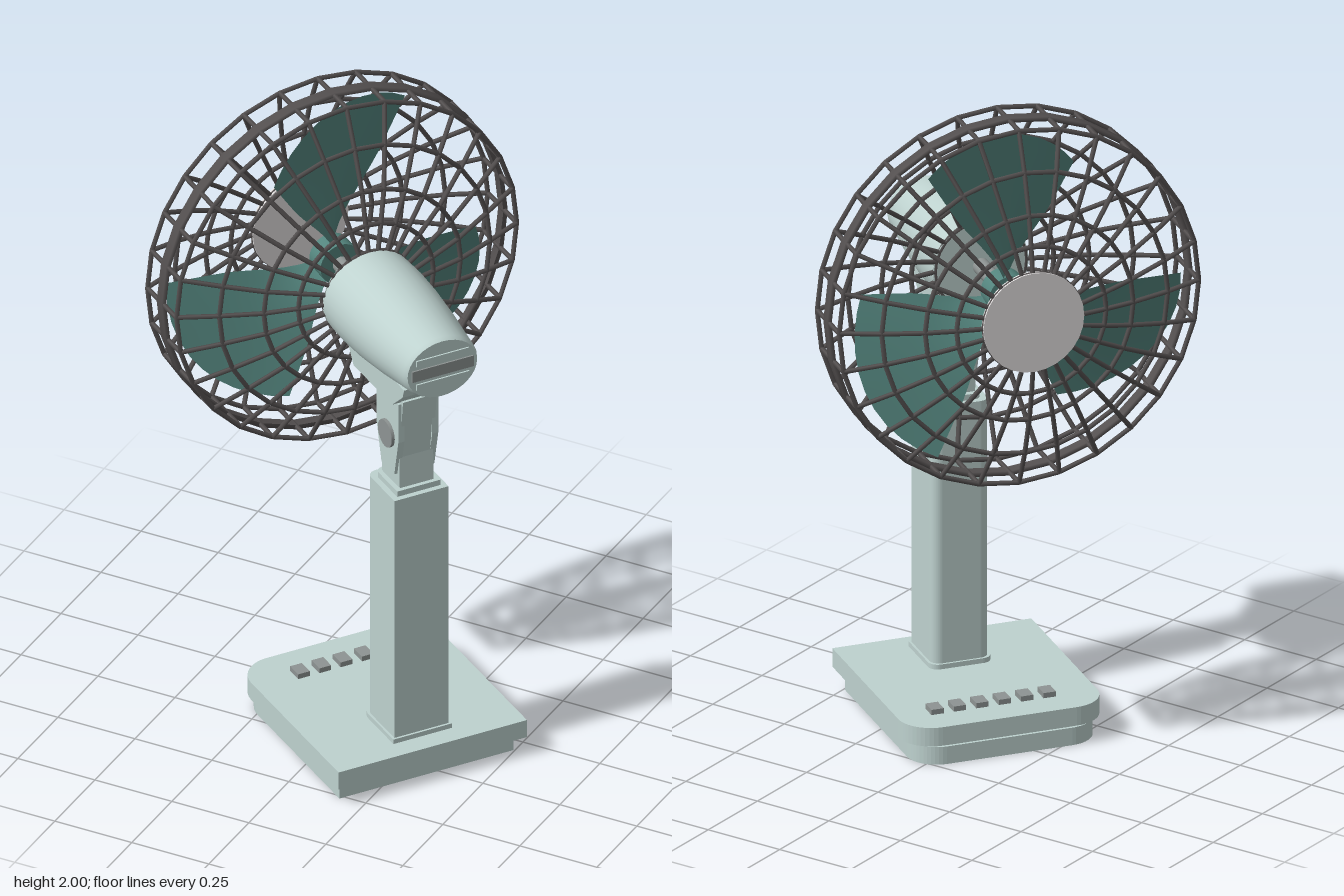
import * as THREE from 'three';
import { mergeGeometries } from 'three/addons/utils/BufferGeometryUtils.js';

const mat = (name, color, side = THREE.FrontSide) => {
  const m = new THREE.MeshStandardMaterial({ color, side });
  m.name = name;
  return m;
};

export function createModel() {
  const body = mat('pale grey green', 0xbed2cf);
  const teal = mat('dark teal', 0x54857e, THREE.DoubleSide);
  const light = mat('light grey', 0xe0dddd);
  const dark = mat('dark wire', 0x555151);
  const grey = mat('mid grey', 0x8e9493);

  const model = new THREE.Group();
  model.name = 'deskFan';
  // the fan is turned about its stand; inside this group its front is +z
  const fan = new THREE.Group();
  fan.name = 'fan';
  fan.rotation.y = THREE.MathUtils.degToRad(-125);
  fan.position.set(-0.023, 0, 0.033);
  model.add(fan);

  const add = (name, geo, material, parent = fan, x = 0, y = 0, z = 0) => {
    const m = new THREE.Mesh(geo, material);
    m.name = name;
    m.position.set(x, y, z);
    parent.add(m);
    return m;
  };

  // upright slab with rounded front corners and sharp back corners
  const slab = (w, z0, z1, r, h) => {
    const a = w / 2, s = new THREE.Shape();
    s.moveTo(-a, -z0);
    s.lineTo(-a, -z1 + r);
    s.absarc(-a + r, -z1 + r, r, Math.PI, Math.PI * 1.5, false);
    s.absarc(a - r, -z1 + r, r, Math.PI * 1.5, Math.PI * 2, false);
    s.lineTo(a, -z0);
    return new THREE.ExtrudeGeometry(s, { depth: h, bevelEnabled: false, curveSegments: 6 })
      .rotateX(-Math.PI / 2);
  };

  // side profile given as [z, y] points, extruded across the width
  const sideProfile = (pts, w) => {
    const s = new THREE.Shape(pts.map(([z, y]) => new THREE.Vector2(-z, y)));
    return new THREE.ExtrudeGeometry(s, { depth: w, bevelEnabled: false })
      .translate(0, 0, -w / 2).rotateY(Math.PI / 2);
  };

  // stand
  add('lowerBase', slab(0.565, -0.435, 0.167, 0.09, 0.055), body);
  add('baseNeck', slab(0.55, -0.43, 0.158, 0.09, 0.012), body, fan, 0, 0.05);
  add('upperBase', slab(0.612, -0.475, 0.168, 0.1, 0.058), body, fan, 0, 0.06);
  add('columnFoot', slab(0.19, -0.412, -0.223, 0.03, 0.015), body, fan, 0, 0.118);
  add('column', slab(0.176, -0.405, -0.23, 0.03, 0.822), body, fan, 0, 0.118);
  add('columnCollar', slab(0.14, -0.388, -0.248, 0.025, 0.018), body, fan, 0, 0.94);
  for (let i = 0; i < 6; i++) {
    add('button', new THREE.BoxGeometry(0.038, 0.016, 0.05), grey, fan,
      -0.015 + (i - 2.5) * 0.069, 0.126, 0.05);
  }

  // tilting neck
  add('neck', sideProfile([[-0.375, 0.955], [-0.265, 0.955], [-0.262, 1.06],
    [-0.225, 1.26], [-0.395, 1.26], [-0.372, 1.06]], 0.11), body);
  add('bracket', sideProfile([[-0.375, 1.25], [-0.135, 1.25], [-0.08, 1.34],
    [-0.45, 1.34], [-0.44, 1.31]], 0.16), body);
  for (const s of [-1, 1]) {
    add('neckCheek', sideProfile([[-0.36, 1.0], [-0.28, 1.0], [-0.25, 1.12],
      [-0.25, 1.25], [-0.385, 1.25], [-0.385, 1.12]], 0.02), body, fan, s * 0.055);
    add('tiltKnob', new THREE.CylinderGeometry(0.043, 0.043, 0.02, 20).rotateZ(Math.PI / 2),
      grey, fan, s * 0.065, 1.12, -0.32);
  }

  // head: everything here is centred on the fan axis
  const head = new THREE.Group();
  head.name = 'head';
  head.position.y = 1.44;
  fan.add(head);

  // motor housing as [radius, z] from back to front, flattened towards the back
  const housing = new THREE.LatheGeometry([[0, -0.535], [0.113, -0.535], [0.113, -0.535],
    [0.12, -0.52], [0.128, -0.45], [0.139, -0.36], [0.147, -0.26], [0.15, -0.16], [0.147, -0.07],
    [0.147, -0.07], [0, -0.07]].map(([r, z]) => new THREE.Vector2(r, z)), 32).rotateX(Math.PI / 2);
  const hp = housing.attributes.position;
  for (let i = 0; i < hp.count; i++) {
    const t = THREE.MathUtils.clamp((-0.2 - hp.getZ(i)) / 0.335, 0, 1);
    hp.setY(i, hp.getY(i) * (0.96 - 0.14 * t));
  }
  add('motorHousing', housing, body, head);
  add('ventBar', new THREE.BoxGeometry(0.2, 0.036, 0.008), grey, head, 0, 0, -0.536);
  for (const y of [-0.04, 0.04]) {
    add('ventRib', new THREE.BoxGeometry(0.17, 0.02, 0.008), body, head, 0, y, -0.536);
  }

  // shaft, spinner and front disc
  const disc = (r, h) => new THREE.CylinderGeometry(r, r, h, 28).rotateX(Math.PI / 2);
  add('shaft', disc(0.025, 0.2), grey, head, 0, 0, 0.02);
  add('spinner', disc(0.065, 0.07), teal, head, 0, 0, 0.135);
  add('frontDisc', disc(0.155, 0.018), light, head, 0, 0, 0.357);

  // three pitched blades: a grid bent to polar coordinates
  const blade = () => {
    const g = new THREE.PlaneGeometry(1, 1, 10, 10), p = g.attributes.position;
    for (let i = 0; i < p.count; i++) {
      const u = p.getX(i) + 0.5, v = p.getY(i) + 0.5;
      const rim = 0.42 + 0.095 * Math.sin(Math.PI * 0.62 * u);
      const r = THREE.MathUtils.lerp(0.05, rim, v);
      const spread = Math.sin(Math.PI / 2 * Math.min(1, 0.35 + v));
      const a = THREE.MathUtils.degToRad(89 + (u - 0.5) * 66 * spread);
      const z = 0.14 + (u - 0.5) * 0.15 * (0.4 + 0.6 * v);
      p.setXYZ(i, r * Math.cos(a), r * Math.sin(a), z);
    }
    g.computeVertexNormals();
    return g;
  };
  for (let i = 0; i < 3; i++) {
    add('blade', blade(), teal, head).rotation.z = i * Math.PI * 2 / 3;
  }

  // wire cage: rings at each [radius, z] point, spokes running between them
  const cage = [[0.14, -0.075], [0.22, -0.058], [0.32, -0.035], [0.44, 0.012], [0.553, 0.062],
    [0.553, 0.243], [0.44, 0.29], [0.32, 0.327], [0.23, 0.345], [0.15, 0.357]];
  const spokes = 28, wire = 0.0075;
  const ringGeos = cage.map(([r, z]) =>
    new THREE.TorusGeometry(r, wire, 5, spokes).translate(0, 0, z));
  add('cageRings', mergeGeometries(ringGeos), dark, head);

  const rod = (a, b) => {
    const d = b.clone().sub(a);
    const q = new THREE.Quaternion().setFromUnitVectors(
      new THREE.Vector3(0, 1, 0), d.clone().normalize());
    return new THREE.CylinderGeometry(wire, wire, d.length(), 5, 1, true)
      .applyQuaternion(q).translate(...a.clone().add(b).multiplyScalar(0.5).toArray());
  };
  const spokeGeos = [];
  for (let i = 0; i < spokes; i++) {
    const t = i / spokes * Math.PI * 2;
    const pts = cage.map(([r, z]) => new THREE.Vector3(r * Math.cos(t), r * Math.sin(t), z));
    for (let k = 0; k < pts.length - 1; k++) spokeGeos.push(rod(pts[k], pts[k + 1]));
  }
  add('cageSpokes', mergeGeometries(spokeGeos), dark, head);

  // clamp band joining the two cage halves
  add('cageBand', new THREE.LatheGeometry([[0.548, -0.016], [0.562, -0.016], [0.562, 0.016],
    [0.548, 0.016], [0.548, -0.016]].map(([r, z]) => new THREE.Vector2(r, z)), 28)
    .rotateX(Math.PI / 2), dark, head, 0, 0, 0.152);

  return model;
}
